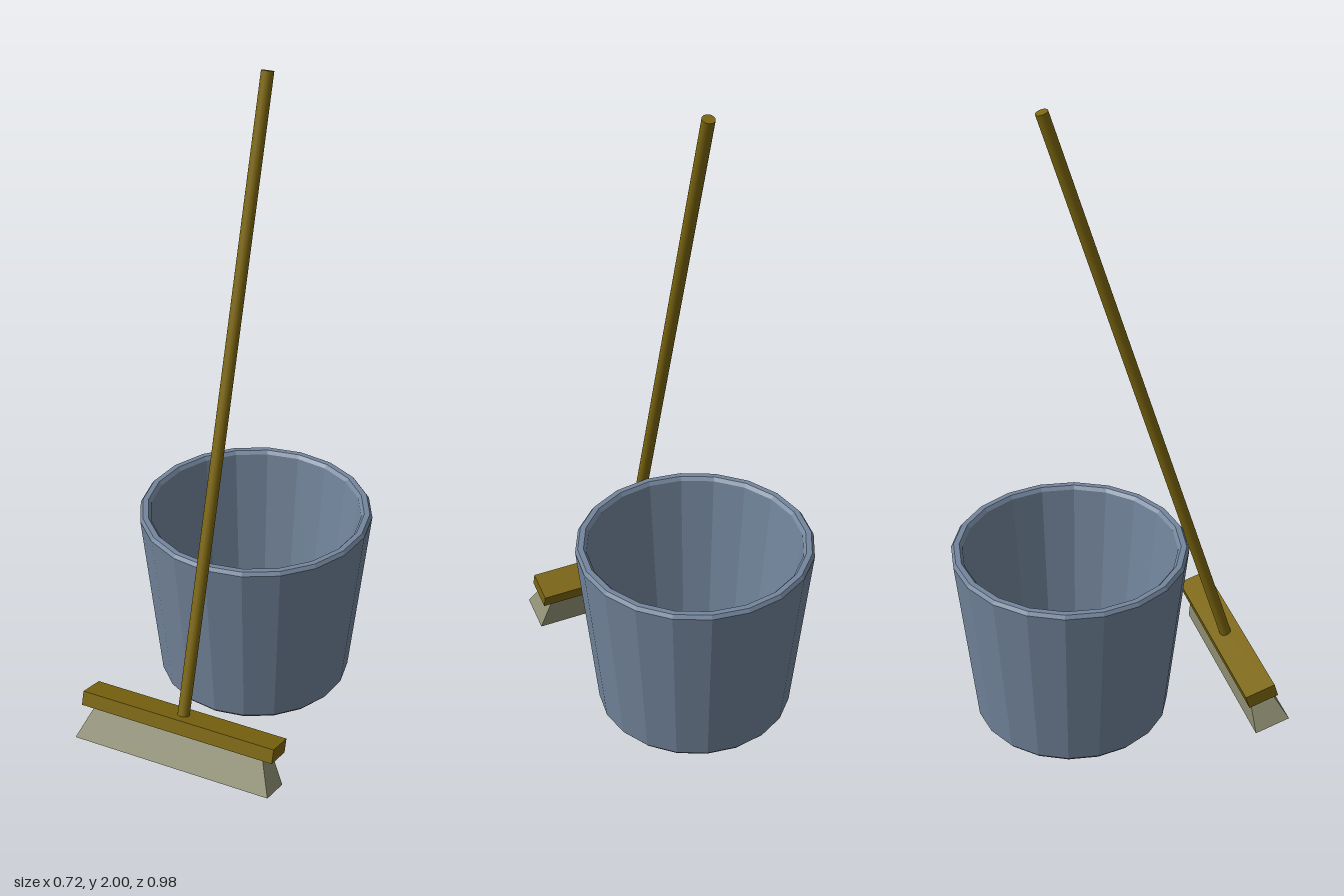
import * as THREE from 'three';

const mat = (color) => new THREE.MeshStandardMaterial({ color, flatShading: true });

function part(name, geometry, material, parent) {
  const mesh = new THREE.Mesh(geometry, material);
  mesh.name = name;
  parent.add(mesh);
  return mesh;
}

export function createModel() {
  const model = new THREE.Group();
  model.name = 'bucketAndBroom';
  const blue = mat(0x73859c);
  const wood = mat(0x7c660f);
  const straw = mat(0x929276);

  // Bucket: faceted tapering wall, small bevels at rim and foot, hollow inside
  const profile = [
    [0, 0.01], [0.293, 0.01], [0.302, 0.021],
    [0.362, 0.592], [0.354, 0.603],
    [0.337, 0.603], [0.328, 0.592],
    [0.268, 0.055], [0.26, 0.047], [0, 0.047],
  ].map(([r, y]) => new THREE.Vector2(r, y));
  const bucket = part('bucket', new THREE.LatheGeometry(profile, 20), blue, model);
  bucket.position.z = -0.125;

  // Broom: upright in its own frame, then leaned back against the rim
  const broom = new THREE.Group();
  broom.name = 'broom';
  broom.position.set(0, 0.141, 0.3965);
  broom.rotation.x = -0.305;
  model.add(broom);

  // Handle
  const length = 1.942;
  const handle = part('handle', new THREE.CylinderGeometry(0.0185, 0.0185, length, 20), wood, broom);
  handle.material = wood.clone();
  handle.material.flatShading = false;
  handle.position.y = length / 2;

  // Head block
  part('headBlock', new THREE.BoxGeometry(0.634, 0.045, 0.098), wood, broom);

  // Bristles: box flared towards the floor
  const height = 0.107;
  const bristleGeometry = new THREE.BoxGeometry(1, height, 1);
  const pos = bristleGeometry.attributes.position;
  for (let i = 0; i < pos.count; i++) {
    const top = pos.getY(i) > 0;
    pos.setX(i, pos.getX(i) * (top ? 0.56 : 0.644));
    pos.setZ(i, pos.getZ(i) * (top ? 0.066 : 0.114));
  }
  bristleGeometry.computeVertexNormals();
  const bristles = part('bristles', bristleGeometry, straw, broom);
  bristles.position.y = -0.0215 - height / 2;

  return model;
}
